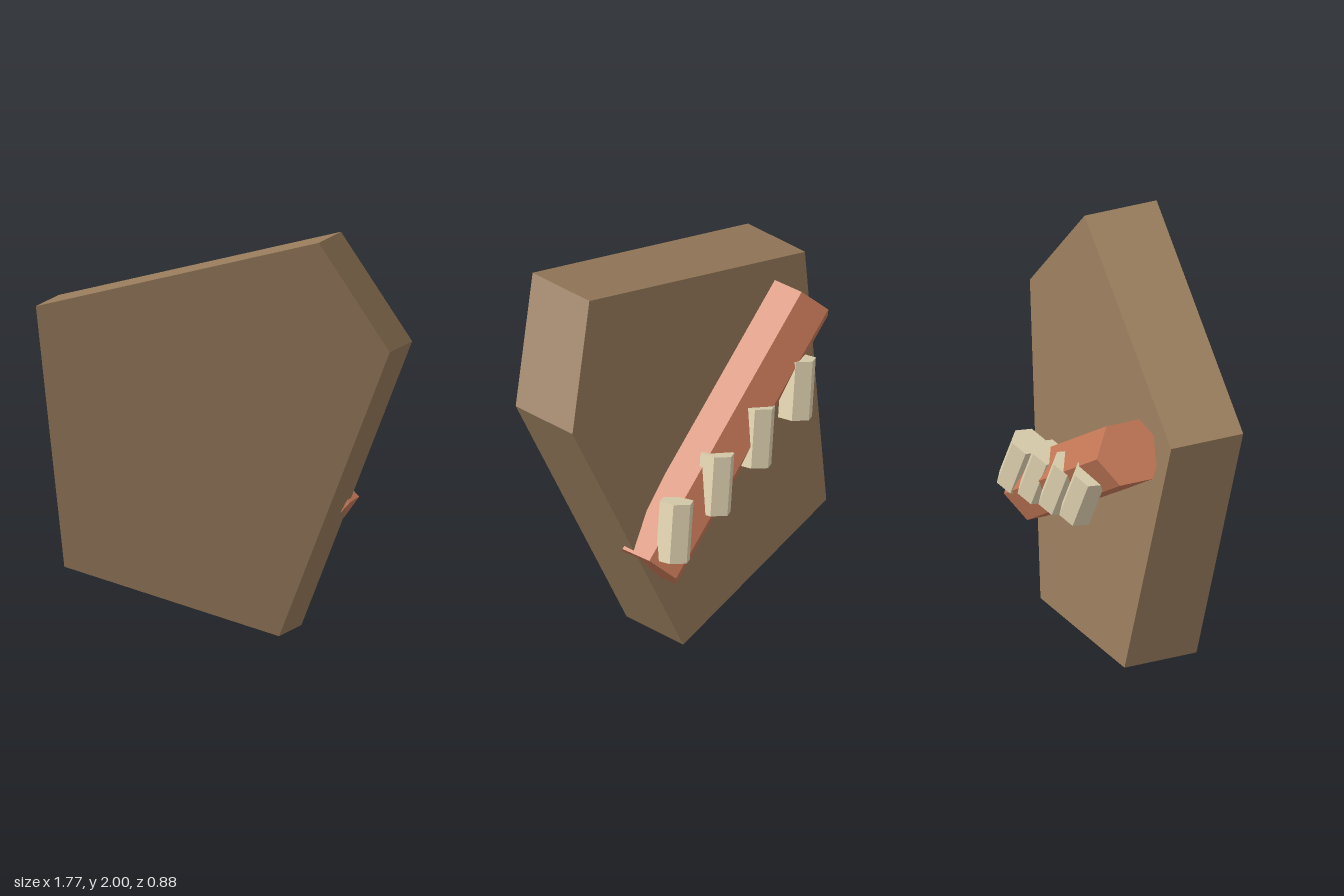
import * as THREE from 'three';

const wood = new THREE.MeshStandardMaterial({ color: 0x967a5b });
wood.name = 'brown';
const skin = new THREE.MeshStandardMaterial({ color: 0xc87a58 });
skin.name = 'terracotta';
const bone = new THREE.MeshStandardMaterial({ color: 0xded1af });
bone.name = 'pale bone';

// Six-sided bar from point a to point b, with one ridge pointing along z
function hexBar(name, a, b, radius, material) {
  const axis = b.clone().sub(a);
  const geometry = new THREE.CylinderGeometry(radius, radius, axis.length(), 6).toNonIndexed();
  geometry.computeVertexNormals();
  const y = axis.normalize();
  const z = new THREE.Vector3(0, 0, 1).addScaledVector(y, -y.z).normalize();
  const x = new THREE.Vector3().crossVectors(y, z);
  const mesh = new THREE.Mesh(geometry, material);
  mesh.name = name;
  mesh.quaternion.setFromRotationMatrix(new THREE.Matrix4().makeBasis(x, y, z));
  mesh.position.copy(a).add(b).multiplyScalar(0.5);
  return mesh;
}

// Five-sided leaning slab, slightly folded between its top and bottom corners
function makeSlab() {
  const front = [
    [0.575, 2, 0.44], [-0.89, 1.61, 0.353], [-0.81, 0.30, 0.14],
    [0.27, 0, 0.10], [0.885, 1.45, 0.27],
  ].map(p => new THREE.Vector3(...p));
  const back = front.map(p => p.clone().setZ(p.z - 0.373));
  const positions = [];
  const normals = [];
  const addTriangle = (a, b, c, normal) => {
    for (const p of [a, b, c]) {
      positions.push(p.x, p.y, p.z);
      normals.push(normal.x, normal.y, normal.z);
    }
  };

  // The large faces fan out from the top corner and are shaded as one
  const forward = new THREE.Vector3(0.02, -0.17, 1).normalize();
  const backward = forward.clone().negate();
  for (let i = 1; i < 4; i++) {
    addTriangle(front[0], front[i], front[i + 1], forward);
    addTriangle(back[0], back[i + 1], back[i], backward);
  }

  // Flat rim
  for (let i = 0; i < 5; i++) {
    const j = (i + 1) % 5;
    const outward = new THREE.Vector3(
      front[j].y - front[i].y, front[i].x - front[j].x, 0).normalize();
    addTriangle(front[i], back[i], back[j], outward);
    addTriangle(front[i], back[j], front[j], outward);
  }

  const geometry = new THREE.BufferGeometry();
  geometry.setAttribute('position', new THREE.Float32BufferAttribute(positions, 3));
  geometry.setAttribute('normal', new THREE.Float32BufferAttribute(normals, 3));
  const mesh = new THREE.Mesh(geometry, wood);
  mesh.name = 'slab';
  return mesh;
}

export function createModel() {
  const model = new THREE.Group();
  model.name = 'slab with grip';
  model.add(makeSlab());

  // Sloping bar across the back
  model.add(hexBar('crossBar',
    new THREE.Vector3(0.461, 0.525, -0.222),
    new THREE.Vector3(-0.703, 1.50, -0.167), 0.172, skin));

  // Row of four pegs over the bar
  const pegs = new THREE.Group();
  pegs.name = 'pegs';
  for (let i = 0; i < 4; i++) {
    const x = -0.295 * i;
    const y = 0.134 * i;
    pegs.add(hexBar('peg',
      new THREE.Vector3(0.435 + x, 0.61 + y, -0.354),
      new THREE.Vector3(0.352 + x, 0.89 + y, -0.304), 0.088, bone));
  }
  model.add(pegs);
  return model;
}
